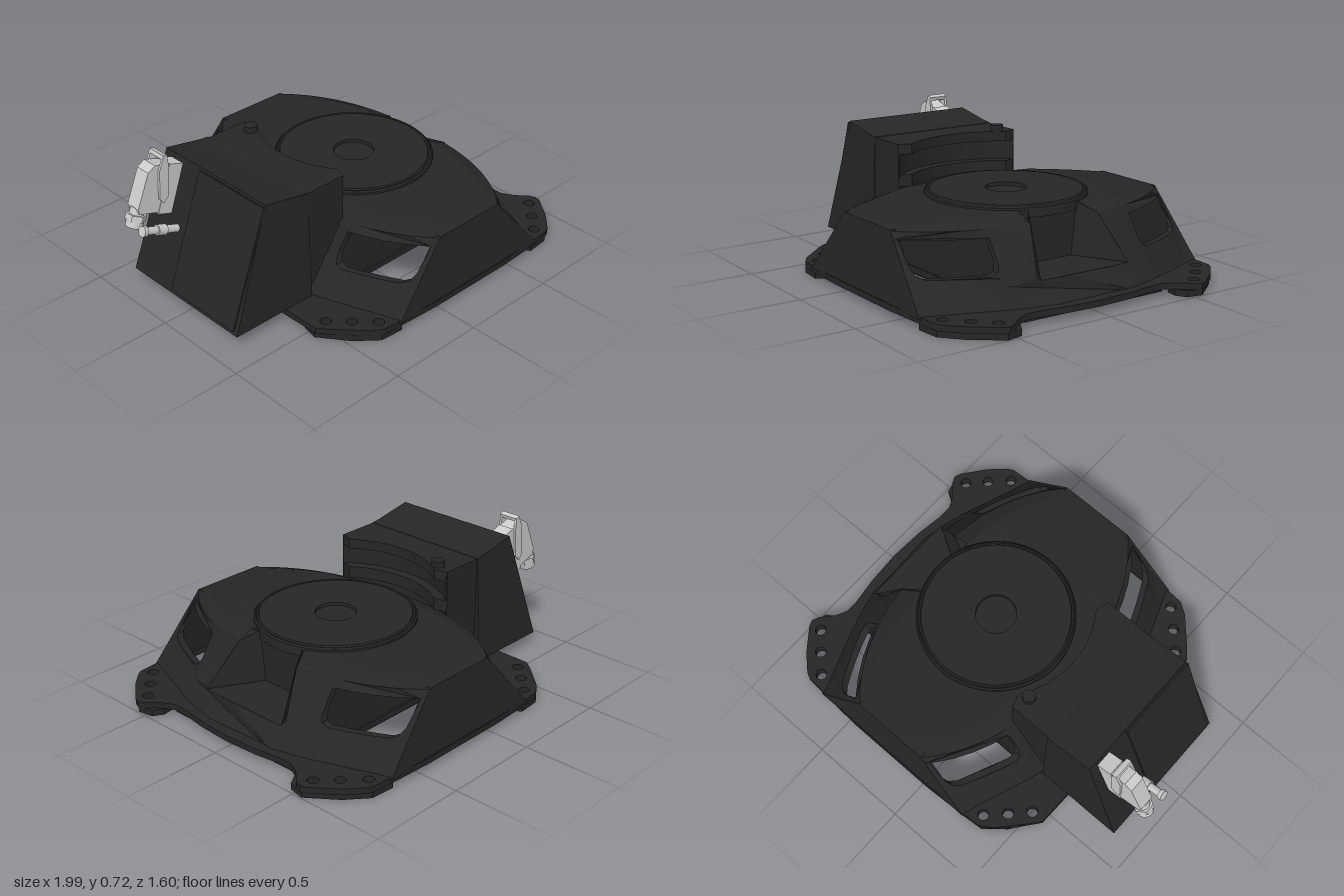
import * as THREE from 'three';
import { toCreasedNormals } from 'three/addons/utils/BufferGeometryUtils.js';

const dark = new THREE.MeshStandardMaterial({ color: 0x262626, side: THREE.DoubleSide });
const grey = new THREE.MeshStandardMaterial({ color: 0xcccccc, side: THREE.DoubleSide });
const CX = 0.21, TOP = 0.375, BASE = 0.05; // shell centre and slope heights
const lerp = THREE.MathUtils.lerp, clamp = THREE.MathUtils.clamp;

// half-widths of the shell along z, at deck and foot of the slopes
const deckHalf = z => 0.46 - 0.263 * z ** 2 - 0.31 * z ** 4;
const footHalf = z => 0.69 - 0.473 * z ** 2 + 0.223 * z ** 4;
const halfAt = (z, y) => lerp(footHalf(z), deckHalf(z), (y - BASE) / (TOP - BASE));

const shapeOf = pts => new THREE.Shape(pts.map(p => new THREE.Vector2(p[0], p[1])));
const pathOf = pts => new THREE.Path(pts.map(p => new THREE.Vector2(p[0], p[1])));
const circle = (x, y, r) => new THREE.Path().absarc(x, y, r, 0, Math.PI * 2, true);
const extrude = (shape, depth) =>
  new THREE.ExtrudeGeometry(shape, { depth, bevelEnabled: false, curveSegments: 12 });

// splits each edge of an outline so it can follow a curved surface
function dense(pts, n = 10) {
  return pts.flatMap((p, i) => {
    const q = pts[(i + 1) % pts.length];
    return Array.from({ length: n }, (_, k) => [lerp(p[0], q[0], k / n), lerp(p[1], q[1], k / n)]);
  });
}

function moveVertices(geo, rule) {
  const pos = geo.attributes.position, v = new THREE.Vector3();
  for (let i = 0; i < pos.count; i++) {
    rule(v.fromBufferAttribute(pos, i), i);
    pos.setXYZ(i, v.x, v.y, v.z);
  }
  geo.computeVertexNormals();
  return geo;
}

function add(parent, name, geo, mat = dark, crease = 0.5) {
  const mesh = new THREE.Mesh(toCreasedNormals(geo, crease), mat);
  mesh.name = name;
  parent.add(mesh);
  return mesh;
}

// horizontal plate from a plan shape in (x, z)
const slab = (shape, y0, y1) => extrude(shape, y1 - y0).rotateX(Math.PI / 2).translate(0, y1, 0);

// flat convex polygon from 3D corners
function polygon(corners) {
  const pts = [];
  for (let i = 1; i < corners.length - 1; i++) pts.push(...corners[0], ...corners[i], ...corners[i + 1]);
  const geo = new THREE.BufferGeometry();
  geo.setAttribute('position', new THREE.Float32BufferAttribute(pts, 3));
  geo.computeVertexNormals();
  return geo;
}

// bends a (z, y) outline onto the curved end slope, side = 1 or -1 in x
function slopePanel(shape, side) {
  return moveVertices(extrude(shape, 0.035), v => {
    const w = halfAt(v.x, v.y) - v.z;
    v.set(CX + side * w, v.y, side * v.x);
  });
}

function windowPath(sz) {
  const r = 0.045, [a, b, c, d] = [0.4, 0.75, 0.19, 0.34];
  const p = [[a, d], [a, c + r], [a + r * 0.3, c + r * 0.3], [a + r, c], [b - r, c],
    [b - r * 0.3, c + r * 0.3], [b, c + r], [b, d]];
  return pathOf(dense(p.map(([z, y]) => [sz * z, y]), 4));
}

function addShell(root) {
  const g = new THREE.Group();
  g.name = 'shell';
  root.add(g);
  // end slopes with windows, notched in the middle on the +x end
  for (const side of [1, -1]) {
    for (const sz of [1, -1]) {
      const s = shapeOf(dense([[0.39, BASE], [0.795, BASE], [0.765, TOP], [0.39, TOP]].map(([z, y]) => [sz * z, y])));
      s.holes.push(windowPath(sz));
      add(g, 'windowSlope', slopePanel(s, side));
    }
    const notch = side > 0 ? [[0.19, TOP], [0.25, 0.165], [-0.25, 0.165], [-0.19, TOP]] : [];
    add(g, 'middleSlope', slopePanel(shapeOf(dense(
      [[-0.39, TOP], [-0.39, BASE], [0.39, BASE], [0.39, TOP], ...notch])), side));
  }
  // slightly domed deck
  const half = [0.15, 0.19, 0.3, 0.38, 0.5, 0.6, 0.7, 0.765];
  const zs = [...half.slice().reverse().map(z => -z), 0, ...half];
  const us = [-1, -0.8, -0.4, 0, 0.4, 0.8, 1];
  const deck = new THREE.PlaneGeometry(1, 1, us.length - 1, zs.length - 1).rotateX(-Math.PI / 2);
  moveVertices(deck, (v, i) => {
    const u = us[i % us.length], z = zs[Math.floor(i / us.length)], a = Math.abs(z);
    const crown = lerp(0.415, 0.38, clamp((a - 0.38) / 0.385, 0, 1));
    const limit = a < 0.185 ? 0.57 : 9;
    v.set(Math.min(CX + u * deckHalf(z), limit), Math.abs(u) === 1 ? TOP : crown, z);
  });
  add(g, 'deck', deck, dark, 0.3);
  for (const s of [1, -1]) {
    // leaning side walls
    const wall = extrude(shapeOf([[-0.48, BASE], [0.48, BASE], [0.2, 0.38], [-0.2, 0.38]]), 0.03);
    add(g, 'sideWall', moveVertices(wall, v => {
      const z = lerp(0.795, 0.765, (v.y - BASE) / (0.38 - BASE)) - 0.03 + v.z;
      v.set(CX + s * v.x, v.y, s * z);
    }));
    // walls between the closed middle and the open side pockets
    add(g, 'pocketWall', polygon([[CX - 0.61, 0.03, s * 0.39], [CX + 0.61, 0.03, s * 0.39],
      [CX + 0.4, TOP, s * 0.39], [CX + 0.32, 0.41, s * 0.39], [CX - 0.32, 0.41, s * 0.39], [CX - 0.4, TOP, s * 0.39]]));
    // flared notch cheeks
    add(g, 'notchCheek', polygon([[0.575, 0.165, s * 0.11], [0.82, 0.165, s * 0.25],
      [0.665, TOP, s * 0.19], [0.57, 0.42, s * 0.14]]));
  }
  add(g, 'notchFloor', polygon([[0.575, 0.165, -0.11], [0.575, 0.165, 0.11], [0.825, 0.165, 0.25], [0.825, 0.165, -0.25]]));
  add(g, 'notchBack', polygon([[0.575, 0.165, -0.11], [0.57, 0.42, -0.14], [0.57, 0.42, 0.14], [0.575, 0.165, 0.11]]));
}

function addFlange(root) {
  const bolts = [[0.72, 0.555], [0.637, 0.64], [0.55, 0.725]];
  // flange outline for z >= 0, mirrored to the other side
  const rim = [[0.93, 0], [0.92, 0.18], [0.9, 0.32], [0.9, 0.39], [0.93, 0.45], [0.985, 0.51], [1, 0.545], [0.99, 0.575],
    [0.9, 0.69], [0.82, 0.765], [0.79, 0.78], [0.65, 0.79], [0.45, 0.8], [-0.03, 0.8], [-0.23, 0.79], [-0.36, 0.78],
    [-0.42, 0.74], [-0.54, 0.61], [-0.58, 0.56], [-0.585, 0.3]];
  const outline = shapeOf([...rim, ...rim.slice(1).reverse().map(([x, z]) => [x, -z])]);
  for (const sz of [1, -1]) {
    outline.holes.push(pathOf([[-0.56, 0.4], [0.56, 0.4], [0.42, 0.75], [-0.42, 0.75]].map(([x, z]) => [CX + x, sz * z])));
    for (const sx of [1, -1]) {
      for (const [x, z] of bolts) outline.holes.push(circle(CX + sx * x, sz * z, 0.027));
      // bolted corner foot
      const foot = shapeOf([[0.72, 0.44], [0.77, 0.47], [0.785, 0.55], [0.68, 0.69], [0.58, 0.775], [0.46, 0.785], [0.44, 0.75],
        [0.5, 0.68], [0.66, 0.45]].map(([x, z]) => [CX + sx * x, sz * z]));
      for (const [x, z] of bolts) foot.holes.push(circle(CX + sx * x, sz * z, 0.027));
      add(root, 'foot', slab(foot, 0, 0.03));
    }
  }
  add(root, 'flange', slab(outline, 0.03, 0.06));
  add(root, 'floorPlate', new THREE.BoxGeometry(1.47, 0.03, 0.78).translate(0.16, 0.035, 0));
}

function addTurntable(root) {
  const profile = [[0, 0.418], [0.1, 0.418], [0.1, 0.435], [0.365, 0.435], [0.37, 0.428], [0.378, 0.428], [0.382, 0.433],
    [0.39, 0.425], [0.392, 0.38]];
  add(root, 'turntable', new THREE.LatheGeometry(profile.map(p => new THREE.Vector2(...p)), 64).translate(CX, 0, 0));
}

function addHousing(root) {
  const g = new THREE.Group();
  g.name = 'rearHousing';
  root.add(g);
  const body = extrude(shapeOf([[-0.88, 0.06], [-0.42, 0.06], [-0.42, 0.612], [-0.46, 0.616], [-0.67, 0.655]]), 2);
  add(g, 'housingBody', moveVertices(body, v => {
    v.z = (v.z - 1) * lerp(0.372, 0.345, (v.y - 0.06) / 0.595) - 0.003;
  }));
  // plates with a concave edge that follows the turntable
  const collar = (name, r, zEnd, y0, y1) => {
    const a = Math.asin(zEnd / r), pts = [[-0.46, -0.345], [-0.2, -0.345]];
    for (let i = 0; i <= 20; i++) {
      const t = lerp(-a, a, i / 20);
      pts.push([CX - r * Math.cos(t), r * Math.sin(t)]);
    }
    pts.push([-0.2, 0.345], [-0.46, 0.345]);
    add(g, name, slab(shapeOf(pts), y0, y1));
  };
  collar('neck', 0.53, 0.34, 0.1, 0.6);
  collar('upperLip', 0.48, 0.28, 0.56, 0.61);
  collar('lowerLedge', 0.48, 0.28, 0.4, 0.46);
  add(g, 'pin', new THREE.CylinderGeometry(0.032, 0.032, 0.08, 20).translate(-0.23, 0.6, -0.26));
  const panel = add(g, 'rearPanel', new THREE.BoxGeometry(0.02, 0.6, 0.44));
  panel.position.set(-0.774, 0.36, 0.125);
  panel.rotation.z = -0.339;
}

// plug on the sloping rear face: local y runs up the face, -x points away from it
function addConnector(root) {
  const g = new THREE.Group();
  g.name = 'connector';
  g.position.set(-0.742, 0.45, -0.26);
  g.rotation.z = -0.339;
  root.add(g);
  const side = (name, pts, width, z = 0) =>
    add(g, name, extrude(shapeOf(pts), width).translate(0, 0, z - width / 2), grey);
  side('plugBase', [[-0.08, -0.06], [0.01, -0.06], [0.01, 0.19], [-0.08, 0.19]], 0.085);
  side('plugHood', [[-0.07, -0.05], [-0.07, 0.185], [-0.165, 0.185], [-0.195, 0.15], [-0.205, -0.03], [-0.19, -0.055]], 0.08);
  for (const s of [1, -1])
    side('leverArm', [[-0.07, 0], [-0.05, 0.04], [-0.09, 0.18], [-0.115, 0.235], [-0.135, 0.235], [-0.14, 0.16], [-0.1, 0.02]], 0.012, s * 0.046);
  side('leverBar', [[-0.11, 0.215], [-0.11, 0.235], [-0.137, 0.235], [-0.137, 0.215]], 0.1);
  // cable gland
  const ring = (name, r, h, y, n) => add(g, name, new THREE.CylinderGeometry(r, r, h, n).translate(-0.175, y, 0), grey);
  ring('glandNeck', 0.035, 0.06, -0.06, 24);
  ring('glandNut', 0.05, 0.03, -0.08, 6);
  ring('glandCap', 0.042, 0.035, -0.11, 24);
  // small fitting beside the plug
  const stub = (r, len, x) => add(g, 'sideFitting',
    new THREE.CylinderGeometry(r, r, len, 20).rotateZ(Math.PI / 2).translate(x, -0.11, 0.1), grey);
  stub(0.019, 0.22, -0.1);
  stub(0.026, 0.05, -0.1);
  stub(0.026, 0.02, -0.2);
}

export function createModel() {
  const root = new THREE.Group();
  root.name = 'robotBase';
  addShell(root);
  addFlange(root);
  addTurntable(root);
  addHousing(root);
  addConnector(root);
  return root;
}
